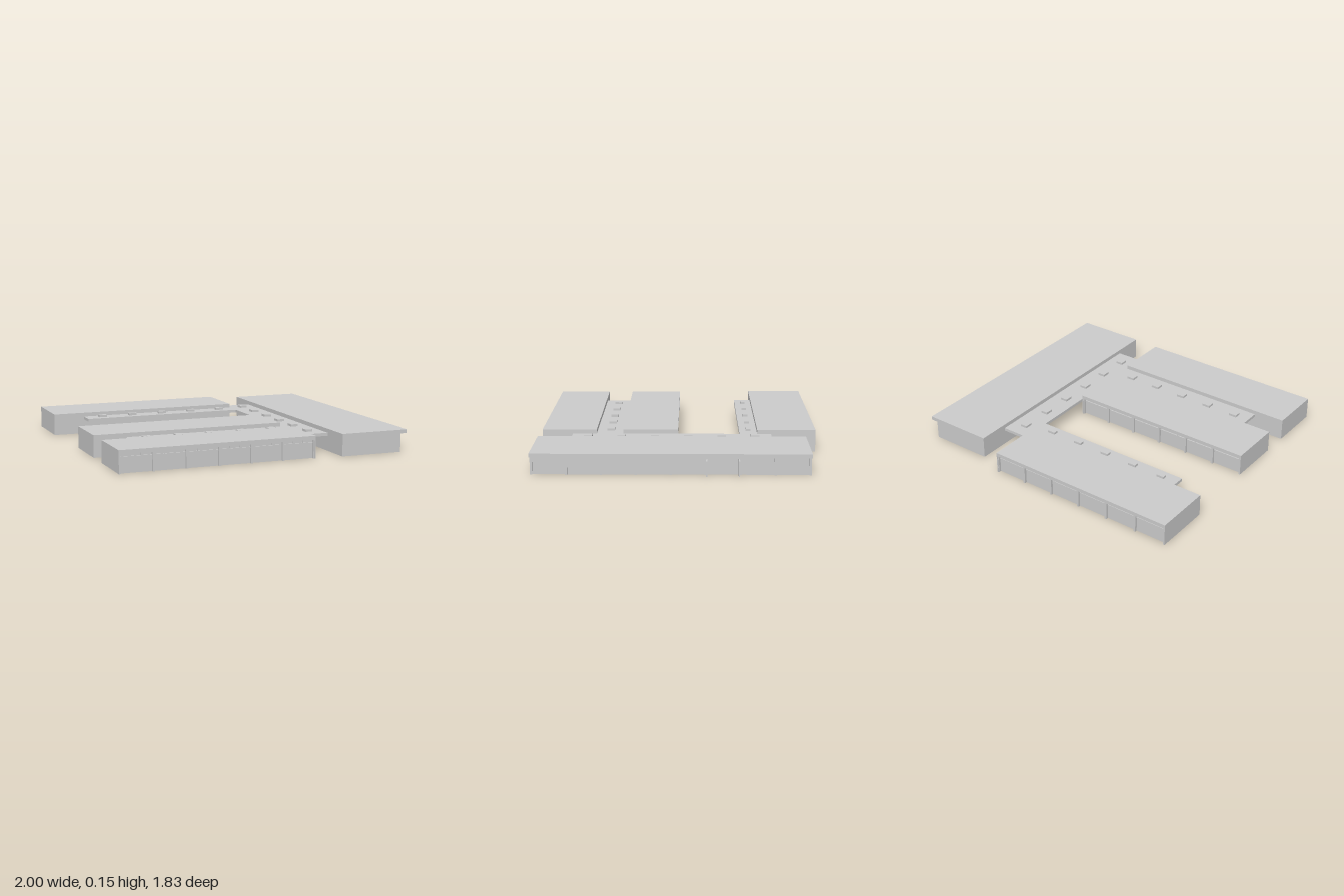
import * as THREE from 'three';

const mat = new THREE.MeshStandardMaterial({ color: 0xcccccc, flatShading: true });
const T = 0.008;             // wall thickness
const EAVE = 0.122, ROOF = 0.147, SILL = 0.1;

// Box given by its minimum and maximum corners
function block(parent, name, x0, x1, y0, y1, z0, z1) {
  const m = new THREE.Mesh(new THREE.BoxGeometry(x1 - x0, y1 - y0, z1 - z0), mat);
  m.position.set((x0 + x1) / 2, (y0 + y1) / 2, (z0 + z1) / 2);
  m.name = name;
  parent.add(m);
  return m;
}

// Long wing without a floor: one window side (dir = +1 or -1 in z), other sides plain
function createWing(name, x0, x1, z0, z1, dir) {
  const g = new THREE.Group();
  g.name = name;
  block(g, 'roof', x0, x1, EAVE, ROOF, z0, z1);
  block(g, 'endWall', x0, x0 + T, 0, EAVE, z0, z1);
  block(g, 'endWall', x1 - T, x1, 0, EAVE, z0, z1);
  const edge = dir > 0 ? z1 : z0, back = dir > 0 ? z0 : z1;
  // slab between two depths measured inward from the window side
  const inward = (n, xa, xb, ya, yb, d0, d1) => {
    const a = edge - dir * d0, b = edge - dir * d1;
    block(g, n, xa, xb, ya, yb, Math.min(a, b), Math.max(a, b));
  };
  block(g, 'corridorWall', x0, x1, 0, EAVE, Math.min(back, back + dir * T), Math.max(back, back + dir * T));
  inward('windowWall', x0, x1, 0, SILL, 0.02, 0.02 + T);
  inward('clerestory', x0, x1, SILL, EAVE, 0.026, 0.03);
  // piers and three clerestory lights per bay
  const bays = 6, w = 0.014, step = (x1 - x0 - w) / bays;
  for (let i = 0; i <= bays; i++) {
    const px = x0 + i * step;
    inward('pier', px, px + w, 0, EAVE, 0.004, 0.024);
    if (i === bays) continue;
    inward('windowSill', px + w, px + step, SILL - 0.003, SILL + 0.003, 0.017, 0.028);
    for (let k = 1; k < 3; k++) {
      const mx = px + w + (step - w) * k / 3;
      inward('mullion', mx - 0.002, mx + 0.002, SILL, EAVE, 0.021, 0.028);
    }
  }
  return g;
}

// Main hall with a deep eave and an entrance on its +x side
function createHall() {
  const g = new THREE.Group();
  g.name = 'mainHall';
  const x0 = 0.525, x1 = 0.95, z0 = -0.835, z1 = 0.913, d0 = -0.39, d1 = -0.18;
  block(g, 'roof', x0, 1, EAVE, ROOF, z0, z1);
  block(g, 'endWall', x0, x1, 0, EAVE, z0, z0 + T);
  block(g, 'endWall', x0, x1, 0, EAVE, z1 - T, z1);
  block(g, 'eastWall', x1 - 0.02, x1 - 0.012, 0, EAVE, z0, d0);
  block(g, 'eastWall', x1 - 0.02, x1 - 0.012, 0, EAVE, d1, z1);
  block(g, 'westWall', x0, x0 + T, 0, EAVE, z0, d0);
  block(g, 'westWall', x0, x0 + T, 0, EAVE, d1, z1);
  for (let i = 0; i <= 8; i++) {
    const z = z0 + (z1 - z0 - 0.014) * i / 8;
    block(g, 'pier', x1 - 0.022, x1, 0, EAVE, z, z + 0.014);
  }
  // lobby partitions
  block(g, 'lobbyWall', x0, x1 - 0.012, 0, EAVE, d0 - T, d0);
  block(g, 'lobbyWall', x0, x1 - 0.012, 0, EAVE, d1, d1 + T);
  for (const [xa, xb] of [[x0, x0 + T], [x1 - 0.02, x1 - 0.012]]) {
    block(g, 'doorScreen', xa, xb, 0, EAVE, d0, -0.34);
    block(g, 'doorScreen', xa, xb, 0, EAVE, -0.25, d1);
    block(g, 'doorLintel', xa, xb, SILL, EAVE, -0.34, -0.25);
  }
  block(g, 'entranceDoor', x1 - 0.018, x1 - 0.014, 0, SILL, -0.34, -0.25);
  for (let i = 0; i < 4; i++) {
    block(g, 'lobbyPost', 0.6 + i * 0.07, 0.61 + i * 0.07, 0, EAVE, -0.25, -0.24);
  }
  // porch: two side fins under the eave
  block(g, 'porchFin', x1 - 0.012, 0.993, 0, SILL, d0, d0 + T);
  block(g, 'porchFin', x1 - 0.012, 0.993, 0, SILL, d1 - T, d1);
  return g;
}

// Low open walkway roof with a row of roof lights
function createWalkway(name, x0, x1, z0, z1, lights, w, d) {
  const g = new THREE.Group();
  g.name = name;
  block(g, 'walkwayRoof', x0, x1, SILL, 0.12, z0, z1);
  for (const [x, z] of lights) {
    block(g, 'roofLight', x - w / 2, x + w / 2, 0.12, 0.135, z - d / 2, z + d / 2);
  }
  return g;
}

export function createModel() {
  const model = new THREE.Group();
  model.name = 'schoolBuilding';
  model.add(createWing('northWing', -1, 0.338, -0.917, -0.528, -1));
  model.add(createWing('middleWing', -0.972, 0.338, 0, 0.365, -1));
  model.add(createWing('southWing', -0.972, 0.338, 0.543, 0.905, 1));
  model.add(createHall());

  const row = (n, f) => Array.from({ length: n }, (_, i) => f(i));
  model.add(createWalkway('northWalkway', -0.785, 0.338, -0.528, -0.41,
    row(5, i => [-0.665 + i * 0.223, -0.47]), 0.055, 0.032));
  model.add(createWalkway('southWalkway', -0.755, 0.338, 0.365, 0.543,
    row(5, i => [-0.643 + i * 0.218, 0.453]), 0.055, 0.05));
  model.add(createWalkway('eastWalkway', 0.338, 0.525, -0.62, 0.702,
    row(6, i => [0.43, -0.508 + i * 0.22]), 0.05, 0.054));
  return model;
}
